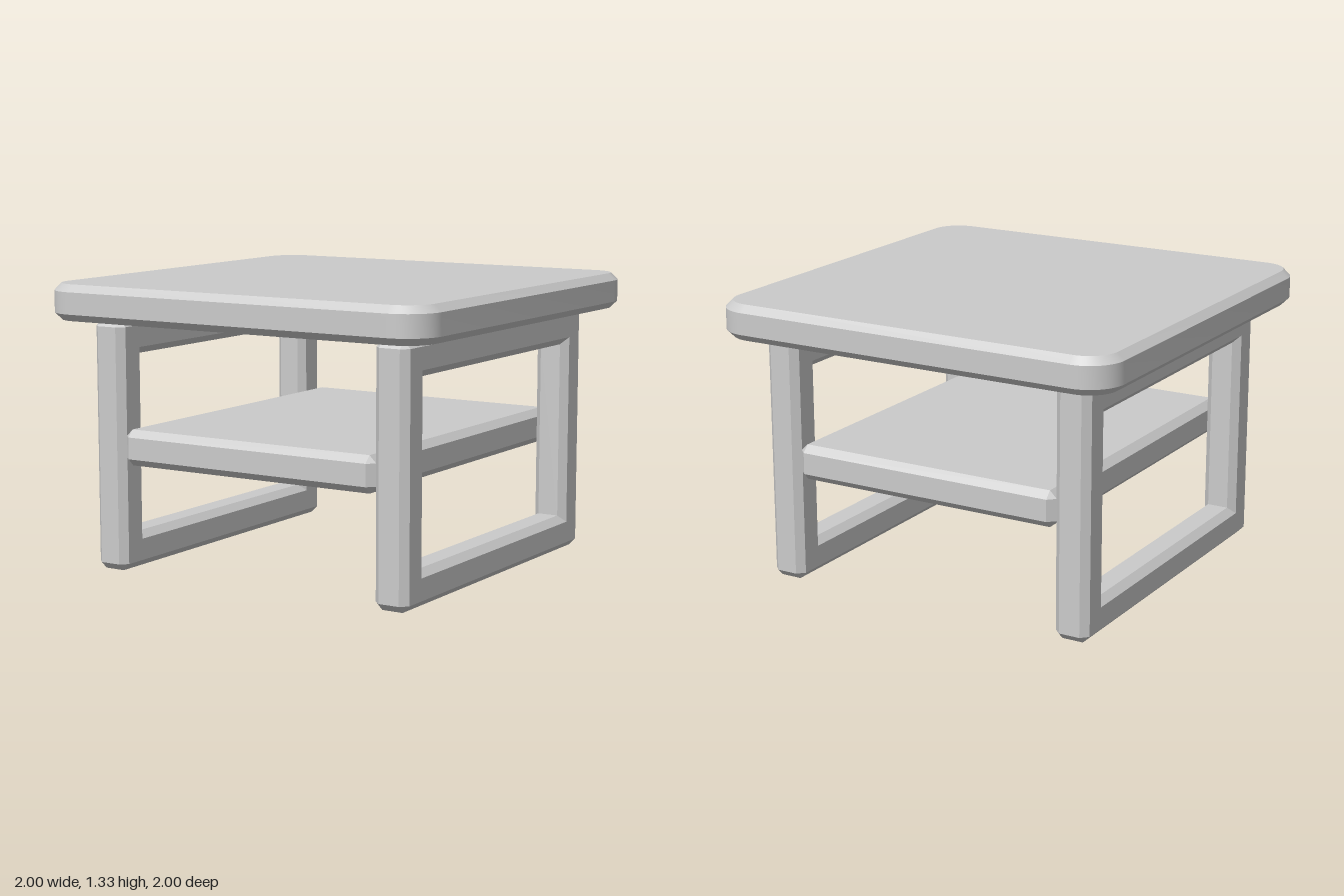
import * as THREE from 'three';
import { toCreasedNormals } from 'three/addons/utils/BufferGeometryUtils.js';
import { ConvexGeometry } from 'three/addons/geometries/ConvexGeometry.js';

const BEVEL = 0.033;
const material = new THREE.MeshStandardMaterial({ color: 0xcccccc });
const flatMaterial = new THREE.MeshStandardMaterial({ color: 0xcccccc, flatShading: true });

function addMesh(parent, name, geometry, mat) {
  const mesh = new THREE.Mesh(geometry, mat);
  mesh.name = name;
  parent.add(mesh);
  return mesh;
}

// Square slab with rounded corners and a chamfered rim
function tabletopGeometry(half, thickness, radius) {
  const r = radius - BEVEL;
  const c = half - radius;
  const shape = new THREE.Shape();
  [[c, c], [-c, c], [-c, -c], [c, -c]].forEach(([x, y], i) =>
    shape.absarc(x, y, r, i * Math.PI / 2, (i + 1) * Math.PI / 2, false));
  const geometry = new THREE.ExtrudeGeometry(shape, {
    depth: thickness - 2 * BEVEL, curveSegments: 10,
    bevelEnabled: true, bevelSegments: 1, bevelSize: BEVEL, bevelThickness: BEVEL,
  });
  geometry.translate(0, 0, BEVEL);
  geometry.rotateX(-Math.PI / 2);
  return toCreasedNormals(geometry, 0.5);
}

// Box with every edge and corner chamfered, given its half sizes
function chamferedBox(hx, hy, hz) {
  const points = [];
  for (const sx of [-1, 1]) for (const sy of [-1, 1]) for (const sz of [-1, 1]) {
    for (let full = 0; full < 3; full++) {
      const [x, y, z] = [hx, hy, hz].map((h, axis) => (axis === full ? h : h - BEVEL));
      points.push(new THREE.Vector3(sx * x, sy * y, sz * z));
    }
  }
  return new ConvexGeometry(points);
}

// Rectangular ring in the yz plane: an octagonal section carried round eight stations,
// two per corner so that the outer corners are chamfered
function frameGeometry(hx, hy, hz, bar) {
  const b = BEVEL;
  const section = [ // [x, inset from the outside]
    [-hx + b, 0], [-hx, b], [-hx, bar - b], [-hx + b, bar],
    [hx - b, bar], [hx, bar - b], [hx, b], [hx - b, 0],
  ];
  const stations = [];
  [[1, 1], [-1, 1], [-1, -1], [1, -1]].forEach(([sz, sy], i) => {
    for (let k = 0; k < 2; k++) {
      const cutY = (i + k) % 2 === 0; // which axis gives way at the chamfer
      stations.push(section.map(([x, inset]) => {
        const iy = inset === 0 && cutY ? b : inset;
        const iz = inset === 0 && !cutY ? b : inset;
        return new THREE.Vector3(x, sy * (hy - iy), sz * (hz - iz));
      }));
    }
  });
  const positions = [];
  const triangle = (p, q, r) => {
    if (new THREE.Triangle(p, q, r).getArea() > 1e-7) {
      for (const v of [p, q, r]) positions.push(v.x, v.y, v.z);
    }
  };
  for (let i = 0; i < 8; i++) {
    const s = stations[i], t = stations[(i + 1) % 8];
    for (let j = 0; j < 8; j++) {
      const n = (j + 1) % 8;
      triangle(s[j], t[j], t[n]);
      triangle(s[j], t[n], s[n]);
    }
  }
  const geometry = new THREE.BufferGeometry();
  geometry.setAttribute('position', new THREE.Float32BufferAttribute(positions, 3));
  geometry.computeVertexNormals();
  return geometry;
}

export function createModel() {
  const table = new THREE.Group();
  table.name = 'table';

  addMesh(table, 'tabletop', tabletopGeometry(1, 0.167, 0.167), material).position.y = 1.167;

  // Open leg frames on both sides
  const frame = frameGeometry(0.0835, 0.5835, 0.833, 0.167);
  for (const [name, side] of [['leftLegFrame', 1], ['rightLegFrame', -1]]) {
    addMesh(table, name, frame, flatMaterial).position.set(side * 0.75, 0.5835, 0);
  }

  // Shelf between the frames
  addMesh(table, 'shelf', chamferedBox(0.667, 0.0835, 0.833), flatMaterial).position.y = 0.5835;

  return table;
}
